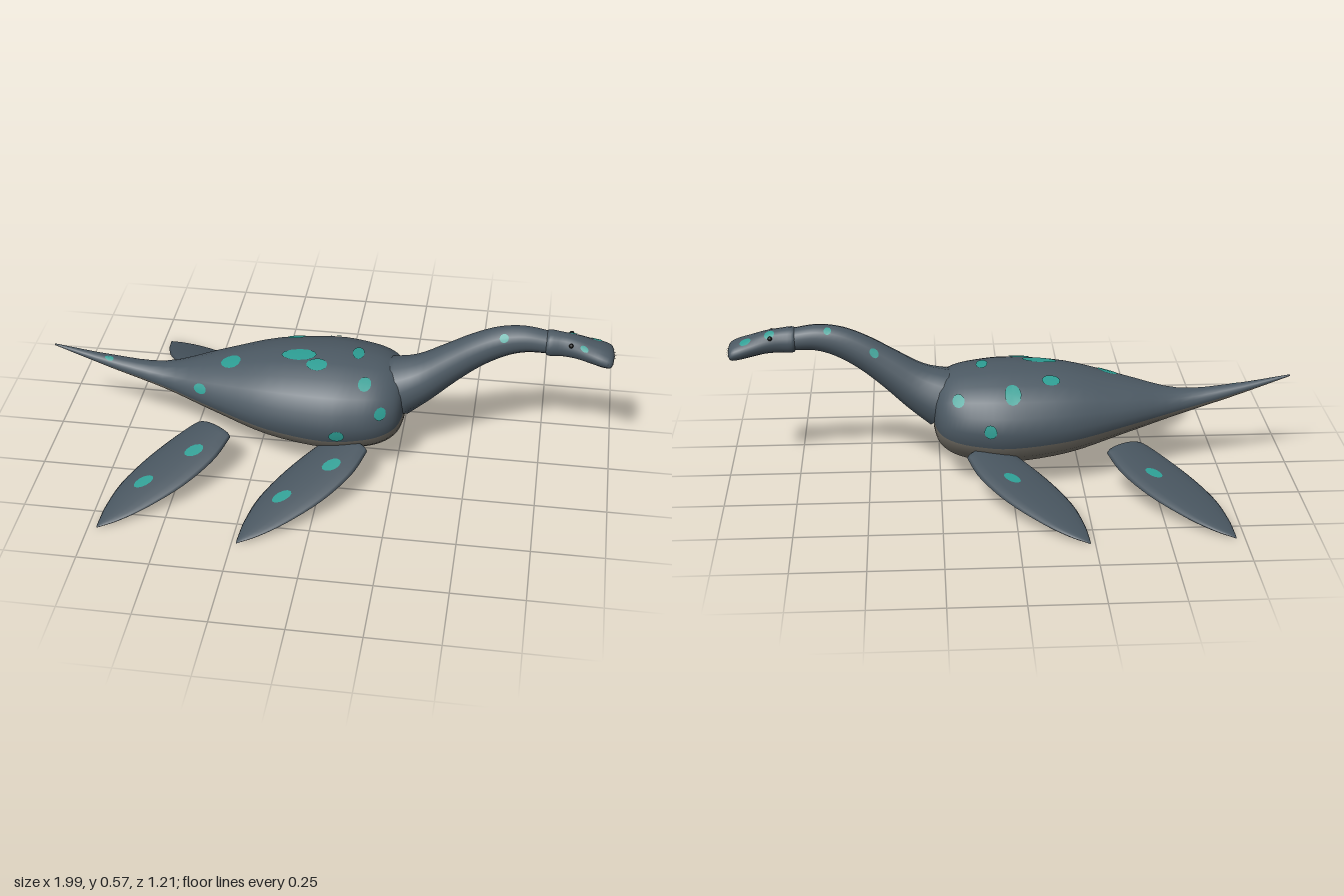
import * as THREE from 'three';

const V = (x, y, z) => new THREE.Vector3(x, y, z);
const mat = (color) => new THREE.MeshStandardMaterial({ color });
const skin = mat(0x4c5963), bellySkin = mat(0x77736a), glow = mat(0x2c9c92);
const finSkin = mat(0x47545e), dark = mat(0x111111), ivory = mat(0xb8b8a8);

// Smooth elliptical surface through sections [edge A, edge B, half width]
function makeSurface(sections, side) {
  const curve = (f) => new THREE.CatmullRomCurve3(sections.map(f), false, 'catmullrom', 0.5);
  const ca = curve((s) => s[0]), cb = curve((s) => s[1]), cw = curve((s) => V(s[2], 0, 0));
  return (t, a, grow = 0) => {
    const A = ca.getPoint(t), B = cb.getPoint(t);
    const half = A.clone().sub(B).multiplyScalar(0.5);
    const mid = A.add(B).multiplyScalar(0.5);
    const w = Math.max(0, cw.getPoint(t).x);
    return mid.addScaledVector(half, Math.cos(a) * (1 + grow))
      .addScaledVector(side, Math.sin(a) * (w * (1 + grow) + grow * 0.05));
  };
}

// Skin a surface; the band of angles past bellyAngle is given its own mesh
function skinSurface(group, name, surf, rows, sides, material, bellyAngle = Infinity) {
  const pos = [], top = [], under = [];
  for (let i = 0; i <= rows; i++)
    for (let j = 0; j < sides; j++) pos.push(...surf(i / rows, (j / sides) * Math.PI * 2).toArray());
  for (let i = 0; i < rows; i++)
    for (let j = 0; j < sides; j++) {
      const k = (j + 1) % sides, a = i * sides + j, b = i * sides + k;
      const mid = ((j + 0.5) / sides) * Math.PI * 2;
      const list = Math.min(mid, Math.PI * 2 - mid) > bellyAngle ? under : top;
      list.push(a, b, a + sides, b, b + sides, a + sides);
    }
  const geo = new THREE.BufferGeometry();
  geo.setAttribute('position', new THREE.Float32BufferAttribute(pos, 3));
  geo.setIndex([...top, ...under]);
  geo.computeVertexNormals();
  const add = (n, index, m) => {
    const g = geo.clone();
    g.setIndex(index);
    const mesh = new THREE.Mesh(g, m);
    mesh.name = n;
    group.add(mesh);
  };
  add(name, top, material);
  if (under.length) add(name + 'Belly', under, bellySkin);
}

// Glowing oval marks laid on a surface: [t, angle, t radius, angle radius]
function addSpots(group, surf, spots, grow) {
  for (const [t, a, dt, da] of spots) {
    const g = new THREE.CircleGeometry(1, 12), p = g.attributes.position;
    for (let i = 0; i < p.count; i++) {
      const q = surf(t + p.getY(i) * dt, a + p.getX(i) * da, grow);
      p.setXYZ(i, q.x, q.y, q.z);
    }
    g.computeVertexNormals();
    const mesh = new THREE.Mesh(g, glow);
    mesh.name = 'glowSpot';
    group.add(mesh);
  }
}

function part(parent, name) {
  const g = new THREE.Group();
  g.name = name;
  parent.add(g);
  return g;
}

export function createModel() {
  const root = new THREE.Group();
  root.name = 'marineReptile';
  const Z = V(0, 0, 1);

  // Body and tail: x, top y, bottom y, half width
  const bodySurf = makeSurface([
    [-1, 0.348, 0.342, 0.003], [-0.8, 0.316, 0.272, 0.026], [-0.6, 0.302, 0.208, 0.055],
    [-0.4, 0.35, 0.15, 0.14], [-0.2, 0.4, 0.09, 0.212], [0, 0.417, 0.063, 0.24],
    [0.12, 0.41, 0.072, 0.225], [0.2, 0.395, 0.092, 0.195], [0.25, 0.365, 0.13, 0.15],
    [0.27, 0.32, 0.185, 0.08], [0.272, 0.25, 0.25, 0],
  ].map(([x, t, b, w]) => [V(x, t, 0), V(x, b, 0), w]), Z);
  const body = part(root, 'bodyAndTail');
  skinSurface(body, 'torso', bodySurf, 40, 20, skin, 1.9);
  addSpots(body, bodySurf, [
    [0.5, -0.8, 0.018, 0.2], [0.445, 0.15, 0.03, 0.13], [0.48, 0.35, 0.02, 0.12],
    [0.325, 0.25, 0.018, 0.2], [0.43, -0.5, 0.015, 0.12], [0.58, 0, 0.02, 0.16],
    [0.62, 0.65, 0.025, 0.14], [0.7, 1.25, 0.03, 0.15], [0.54, 1.7, 0.022, 0.13],
    [0.275, 1.2, 0.012, 0.2], [0.68, -0.9, 0.03, 0.15], [0.56, -1.5, 0.02, 0.14],
    [0.1, 0.5, 0.008, 0.4],
  ], 0.012);

  // Neck: top x, top y, bottom x, bottom y, half width
  const neckSurf = makeSurface([
    [0.2, 0.39, 0.285, 0.195, 0.11], [0.3, 0.414, 0.365, 0.262, 0.083],
    [0.4, 0.47, 0.45, 0.343, 0.066], [0.49, 0.522, 0.53, 0.41, 0.056],
    [0.58, 0.56, 0.61, 0.458, 0.049], [0.67, 0.572, 0.68, 0.48, 0.044],
    [0.765, 0.558, 0.755, 0.482, 0.04],
  ].map(([a, b, c, d, w]) => [V(a, b, 0), V(c, d, 0), w]), Z);
  const neck = part(root, 'neck');
  skinSurface(neck, 'neckSkin', neckSurf, 24, 14, skin);
  addSpots(neck, neckSurf, [[0.7, 0.9, 0.03, 0.3], [0.76, -0.7, 0.025, 0.3], [0.45, -1, 0.03, 0.25]], 0.03);

  // Head with a broad flattened snout
  const headSurf = makeSurface([
    [0.75, 0.522, 0.522, 0], [0.748, 0.562, 0.477, 0.045], [0.8, 0.56, 0.475, 0.042],
    [0.85, 0.551, 0.472, 0.047], [0.9, 0.536, 0.462, 0.055], [0.945, 0.522, 0.453, 0.063],
    [0.972, 0.506, 0.456, 0.056], [0.981, 0.482, 0.482, 0],
  ].map(([x, t, b, w]) => [V(x, t, 0), V(x, b, 0), w]), Z);
  const head = part(root, 'head');
  skinSurface(head, 'headSkin', headSurf, 28, 16, skin);
  addSpots(head, headSurf, [[0.38, -0.6, 0.05, 0.4], [0.62, -0.6, 0.06, 0.3], [0.5, 0.9, 0.04, 0.25]], 0.03);

  // Eyes
  for (const s of [1, -1]) {
    const eye = new THREE.Mesh(new THREE.SphereGeometry(0.008, 12, 8), dark);
    eye.name = s > 0 ? 'leftEye' : 'rightEye';
    eye.position.set(0.83, 0.538, s * 0.041);
    head.add(eye);
  }

  // Two rows of tiny teeth fanned around the snout
  const toothGeo = new THREE.ConeGeometry(0.0022, 0.018, 5);
  for (const row of [1, -1])
    for (let i = -4; i <= 4; i++) {
      const a = i * 0.32, tooth = new THREE.Mesh(toothGeo, ivory);
      tooth.name = 'tooth';
      tooth.position.set(0.948 + 0.031 * Math.cos(a), 0.481 + row * 0.009, 0.058 * Math.sin(a));
      tooth.quaternion.setFromUnitVectors(V(0, 1, 0),
        V(Math.cos(a), -row * 0.4, Math.sin(a)).normalize());
      head.add(tooth);
    }

  // Flippers: leading x, z, trailing x, z, half thickness
  const finOutline = [
    [-0.39, 0.16, -0.395, 0.158, 0], [-0.333, 0.192, -0.446, 0.134, 0.016],
    [-0.335, 0.225, -0.5, 0.172, 0.019], [-0.372, 0.31, -0.6, 0.285, 0.018],
    [-0.455, 0.415, -0.675, 0.4, 0.015], [-0.565, 0.508, -0.708, 0.495, 0.01],
    [-0.65, 0.56, -0.719, 0.558, 0.006], [-0.72, 0.59, -0.722, 0.588, 0.001],
  ];
  const finY = (x, z) => 0.15 - 0.26 * (z - 0.2) + 0.11 * (x + 0.33);
  for (const [pair, dx, dz] of [['front', 0.487, 0.013], ['rear', 0, 0]])
    for (const s of [1, -1]) {
      const at = (x, z) => V(x + dx, finY(x, z), s * (z + dz));
      const surf = makeSurface(finOutline.map(([a, b, c, d, w]) => [at(a, b), at(c, d), w]),
        V(0, s, 0));
      const fin = part(root, pair + (s > 0 ? 'Left' : 'Right') + 'Flipper');
      skinSurface(fin, 'flipperSkin', surf, 28, 14, finSkin);
      addSpots(fin, surf, [[0.4, 1.3, 0.035, 0.25], [0.58, 1.8, 0.035, 0.25], [0.45, -1.4, 0.03, 0.2]], 0.04);
    }
  return root;
}
